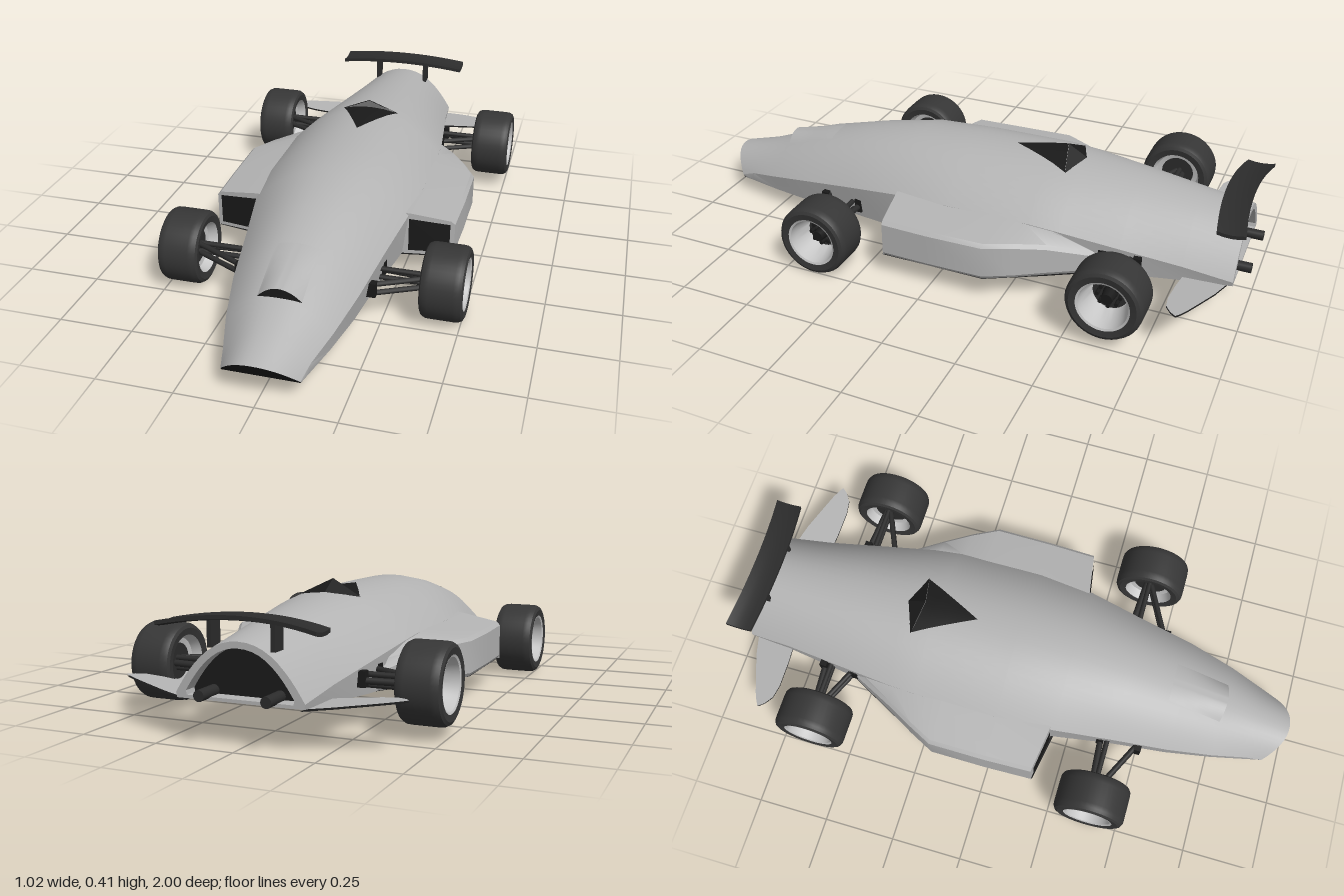
import * as THREE from 'three';
import { toCreasedNormals } from 'three/addons/utils/BufferGeometryUtils.js';

const mat = (name, color) => new THREE.MeshStandardMaterial({ name, color, side: THREE.DoubleSide });
const V = (x, y, z) => new THREE.Vector3(x, y, z);

// Body stations: z, half width, shoulder height, floor half width, floor height, crown height
const STATIONS = [
  [0.93, 0.122, 0.075, 0.12, 0.065, 0.15],
  [0.88, 0.135, 0.1, 0.132, 0.067, 0.18],
  [0.76, 0.17, 0.13, 0.16, 0.07, 0.222],
  [0.6, 0.205, 0.165, 0.19, 0.075, 0.285],
  [0.4, 0.235, 0.2, 0.215, 0.082, 0.335],
  [0.2, 0.268, 0.235, 0.25, 0.09, 0.37],
  [0, 0.28, 0.245, 0.27, 0.092, 0.375],
  [-0.3, 0.28, 0.245, 0.27, 0.096, 0.378],
  [-0.4, 0.272, 0.235, 0.262, 0.1, 0.373],
  [-0.6, 0.245, 0.205, 0.235, 0.106, 0.354],
  [-0.8, 0.217, 0.175, 0.21, 0.12, 0.33],
  [-0.96, 0.203, 0.15, 0.2, 0.135, 0.308],
];

function station(z) {
  let i = 0;
  while (i < STATIONS.length - 2 && z < STATIONS[i + 1][0]) i++;
  const a = STATIONS[i], b = STATIONS[i + 1];
  const t = THREE.MathUtils.clamp((z - a[0]) / (b[0] - a[0]), 0, 1);
  const [, w, ym, wb, yb, yt] = a.map((v, k) => v + (b[k] - v) * t);
  return { z, w, ym, wb, yb, yt };
}

const crown = (x, z) => {
  const s = station(z);
  return s.ym + (s.yt - s.ym) * (1 - Math.min(1, Math.abs(x / s.w)) ** 2.2);
};

// Half-open section running from the left floor edge over the crown to the right one
function section(z, slant = 0) {
  const s = station(z), pts = [[s.wb, s.yb]];
  for (let i = 0; i <= 24; i++) {
    const x = s.w * Math.cos((i / 24) * Math.PI);
    pts.push([x, crown(x, z)]);
  }
  pts.push([-s.wb, s.yb]);
  return pts.map(([x, y]) => V(x, y, z + slant * (y - s.yb) / (s.yt - s.yb)));
}

// Skin through a row of sections with equal point counts
function loft(rows, crease = 0.6) {
  const n = rows[0].length, index = [];
  for (let i = 0; i < rows.length - 1; i++) {
    for (let j = 0; j < n - 1; j++) {
      const a = i * n + j, c = a + n;
      index.push(a, c, a + 1, a + 1, c, c + 1);
    }
  }
  const g = new THREE.BufferGeometry().setFromPoints(rows.flat());
  g.setIndex(index);
  return toCreasedNormals(g, crease);
}

function rod(a, b, r, sides = 10) {
  const d = b.clone().sub(a);
  const g = new THREE.CylinderGeometry(r, r, d.length(), sides);
  g.applyQuaternion(new THREE.Quaternion().setFromUnitVectors(V(0, 1, 0), d.normalize()));
  return g.translate((a.x + b.x) / 2, (a.y + b.y) / 2, (a.z + b.z) / 2);
}

export function createModel() {
  const car = new THREE.Group();
  car.name = 'racingCar';
  const paint = mat('silver paint', 0xb4b4b4);
  const black = mat('matt black', 0x1a1a1a);
  const carbon = mat('dark carbon', 0x2c2c2c);
  const rubber = mat('tyre rubber', 0x363636);
  const alloy = mat('rim alloy', 0xc4c4c4);
  const add = (name, geometry, material, parent = car) => {
    const m = new THREE.Mesh(geometry, material);
    m.name = name;
    parent.add(m);
    return m;
  };

  // Main shell, nose mouth and hollow tail
  const nose = section(0.93, 0.07);
  const rows = STATIONS.slice(1).map((s) => section(s[0]));
  add('bodyShell', loft([nose, ...rows], 0.5), paint);
  add('noseIntake', loft([nose.map((p) => V(p.x, 0.065, 0.93)), nose]), black);
  const tail = rows[rows.length - 1];
  const inner = (z) => tail.map((p) => V(p.x * 0.84, 0.145 + (p.y - 0.135) * 0.83, z));
  add('tailRim', loft([tail, inner(-0.96), inner(-0.91)]), paint);
  add('tailOpening', loft([inner(-0.915), inner(-0.915).map((p) => V(p.x, 0.145, p.z))]), black);
  add('tailSill', new THREE.BoxGeometry(0.4, 0.01, 0.05).translate(0, 0.14, -0.935), paint);

  // Flat floor spanning the body and side pods
  const outline = [[0.93, 0.12], [0.88, 0.132], [0.76, 0.16], [0.6, 0.19], [0.4, 0.215], [0.2, 0.25],
    [0.17, 0.42], [-0.2, 0.425], [-0.38, 0.335], [-0.56, 0.24], [-0.8, 0.21], [-0.96, 0.2]];
  add('floor', loft(outline.map(([z, w]) => [V(-w, station(z).yb, z), V(w, station(z).yb, z)])), black);

  // Nose vent: raised lip with a dark crescent under it
  const lipW = 0.07, across = [...Array(17)].map((_, i) => lipW * (1 - i / 8));
  const lip = (t) => across.map((x) => {
    const z = 0.757 - 0.2 * t - 1.5 * x * x * (1 - t);
    return V(x, crown(x, z) + 0.001 + 0.03 * (1 - (x / lipW) ** 2) * (1 - t) ** 1.5, z);
  });
  add('noseVentLip', loft([0, 0.25, 0.5, 0.75, 1].map(lip)), paint);
  add('noseVent', loft([lip(0).map((p) => V(p.x, crown(p.x, p.z), p.z)), lip(0)]), black);

  // Roof scoop: dark kite floor, overhanging lip and roof
  const kite = (z0, z1, lift) => [0, 0.25, 0.5, 0.75, 1].map((t) => {
    const z = z0 + (z1 - z0) * t, w = 0.105 * t;
    return [1, 0.5, 0, -0.5, -1].map((k) => V(w * k, crown(w * k, z) + lift, z));
  });
  add('scoopFloor', loft(kite(-0.15, -0.36, 0.004)), black);
  const back = V(0, crown(0, -0.4) + 0.004, -0.4), peak = V(0, 0.415, -0.335);
  const sideL = V(0.108, crown(0.108, -0.36) + 0.004, -0.36), sideR = V(-sideL.x, sideL.y, sideL.z);
  add('scoopRoof', loft([[sideL, peak, sideR], [back, back, back]], 0.1), black);
  const base = V(0, sideL.y, -0.365);
  add('scoopThroat', loft([[sideL, base, sideR], [sideL, peak, sideR]]
    .map((r) => r.map((p) => V(p.x, p.y - 0.002, p.z + 0.001)))), paint);

  for (const s of [1, -1]) {
    const side = new THREE.Group();
    side.name = s > 0 ? 'leftSide' : 'rightSide';
    car.add(side);
    const at = (x, y, z) => V(s * x, y, z);

    // Side pod with a dark inlet
    const podSection = ([z, xo, top]) => {
      const yb = station(z).yb;
      return [[xo - 0.008, yb], [xo, yb + 0.012], [xo, top - 0.012], [xo - 0.012, top],
        [Math.min(0.28, xo - 0.02), top + 0.022], [0.2, top + 0.03]]
        .map(([x, y]) => at(x, y, z + (z > 0.1 ? (0.425 - x) * 0.15 : 0)));
    };
    const pod = [[0.165, 0.425, 0.222], [0, 0.43, 0.222], [-0.2, 0.43, 0.225],
      [-0.29, 0.385, 0.222], [-0.38, 0.335, 0.212], [-0.56, 0.24, 0.17]].map(podSection);
    if (s < 0) pod.forEach((r) => r.reverse());
    add('sidePod', loft(pod, 0.5), paint, side);
    add('podInletFrame', loft([pod[0], pod[0].map((p) => V(p.x, 0.09, p.z))]), paint, side);
    const inlet = [[0.272, 0.105], [0.41, 0.105], [0.41, 0.211], [0.272, 0.226]]
      .map(([x, y]) => at(x, y, 0.169 + (0.425 - x) * 0.15));
    add('podInlet', loft([[inlet[0], inlet[1]], [inlet[3], inlet[2]]]), black, side);

    // Rear floor fin, painted above and black below
    const fin = (lift) => [[0.18, -0.805, -0.945], [0.27, -0.797, -0.92], [0.36, -0.793, -0.885],
      [0.41, -0.8, -0.865], [0.44, -0.82, -0.85], [0.455, -0.838, -0.84]]
      .map(([x, z0, z1]) => [z0, z1].map((z) => at(x, 0.125 + (x - 0.18) * 0.1 + lift, z)));
    add('rearFinTop', loft(fin(0.006)), paint, side);
    add('rearFinUnderside', loft(fin(0)), black, side);

    // Exhaust and wing strut
    add('exhaust', rod(at(0.105, 0.155, -0.9), at(0.105, 0.155, -1), 0.017, 16), carbon, side);
    add('wingStrut', new THREE.BoxGeometry(0.014, 0.085, 0.05).translate(s * 0.1, 0.325, -0.92), carbon, side);

    for (const [end, z, y, reach, dz] of [['front', 0.39, 0.13, 0.2, 0.11], ['rear', -0.635, 0.163, 0.22, 0.09]]) {
      // Suspension wishbones, push rod and mounts
      for (const h of [-0.02, 0.012]) {
        add(end + 'Wishbone', rod(at(reach, y + h, z), at(0.41, y + h, z), 0.009), carbon, side);
        add(end + 'Wishbone', rod(at(reach, y + h, z + dz), at(0.4, y + h, z + 0.01), 0.009), carbon, side);
      }
      add(end + 'PushRod', rod(at(reach, y - 0.004, z - 0.025), at(0.41, y - 0.004, z - 0.01), 0.011), carbon, side);
      for (const m of [-0.025, dz]) {
        add(end + 'Mount', new THREE.BoxGeometry(0.035, 0.05, 0.025)
          .translate(s * (reach + 0.018), y + 0.002, z + m), black, side);
      }

      // Wheel, with its axle along the group's y axis
      const wheel = new THREE.Group();
      wheel.name = end + 'Wheel';
      wheel.position.set(s * 0.441, y, end === 'front' ? 0.393 : -0.628);
      wheel.rotation.z = -s * Math.PI / 2;
      side.add(wheel);
      const lathe = (pts) => toCreasedNormals(
        new THREE.LatheGeometry(pts.map(([r, h]) => new THREE.Vector2(r, h)), 40), 0.5);
      add('tyre', lathe([[0.086, -0.066], [0.108, -0.07], [0.118, -0.065], [0.124, -0.054], [0.125, -0.04],
        [0.125, 0.04], [0.124, 0.054], [0.118, 0.065], [0.108, 0.07], [0.086, 0.066]]), rubber, wheel);
      add('rim', lathe([[0.087, 0.067], [0.08, 0.064], [0.076, 0.04], [0.06, -0.02], [0.05, -0.025]]), alloy, wheel);
      add('innerRim', lathe([[0.05, -0.03], [0.075, -0.035], [0.087, -0.066]]), alloy, wheel);
      add('brakeDisc', new THREE.CylinderGeometry(0.058, 0.058, 0.012, 32).translate(0, -0.026, 0), carbon, wheel);
      add('hub', new THREE.CylinderGeometry(0.018, 0.024, 0.05, 20), black, wheel);
      for (let k = 0; k < 8; k++) {
        const a = (k / 8) * Math.PI * 2;
        add('hubBolt', new THREE.CylinderGeometry(0.007, 0.007, 0.03, 8)
          .translate(0.037 * Math.cos(a), -0.01, 0.037 * Math.sin(a)), black, wheel);
      }
    }
  }

  // Rear wing: arched, swept plank with a thicker rear edge
  const wing = new THREE.BoxGeometry(0.5, 0.012, 0.09, 16, 1, 4);
  const p = wing.attributes.position;
  for (let i = 0; i < p.count; i++) {
    const x = p.getX(i), z = p.getZ(i);
    p.setY(i, p.getY(i) + 0.367 - 0.4 * x * x + 3 * z * z - 0.03 * z);
    p.setZ(i, z - 0.92 - 0.35 * x * x);
  }
  add('rearWing', toCreasedNormals(wing, 0.6), carbon);
  return car;
}
